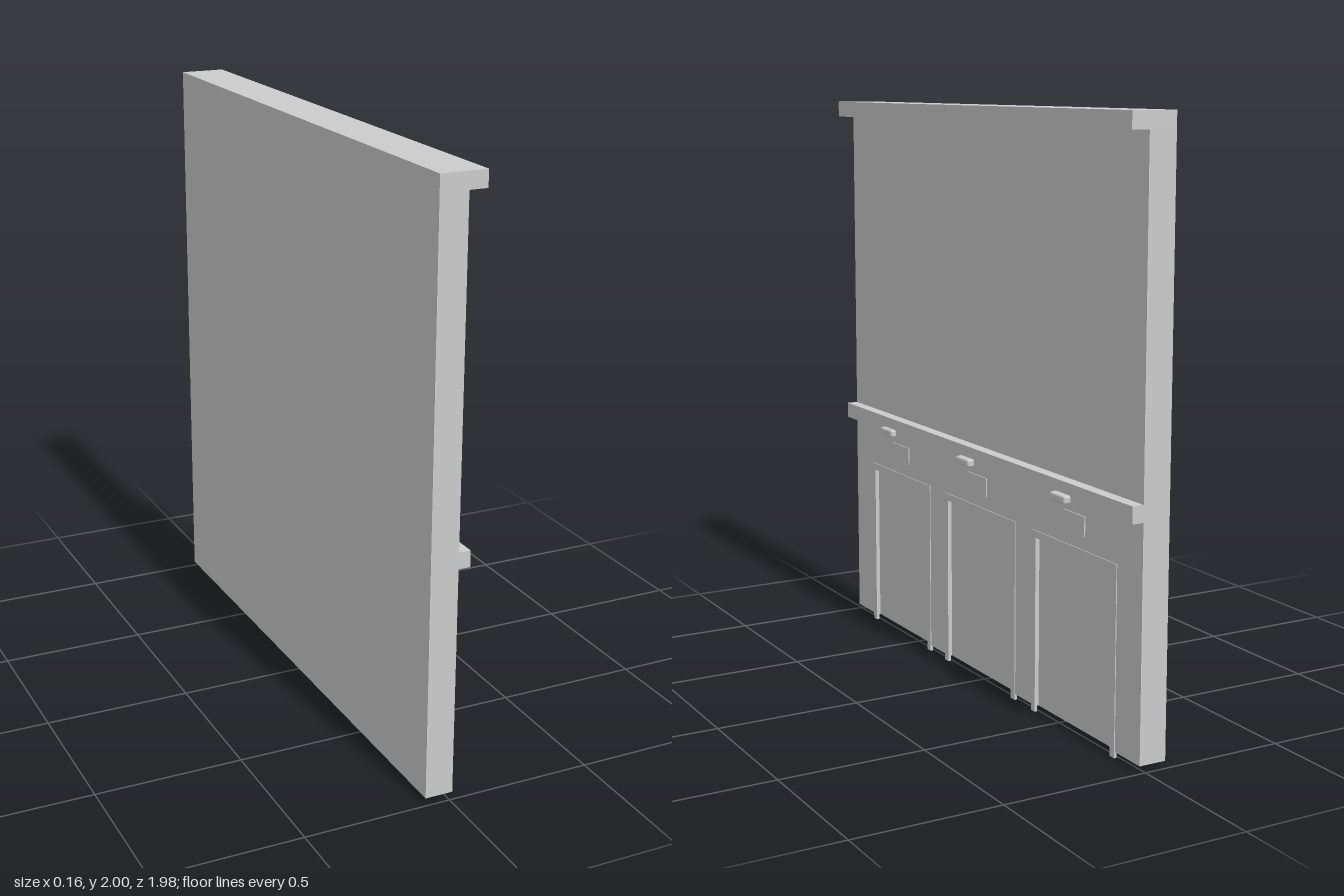
import * as THREE from 'three';
import { RoundedBoxGeometry } from 'three/addons/geometries/RoundedBoxGeometry.js';

export function createModel() {
  const model = new THREE.Group();
  const grey = new THREE.MeshStandardMaterial({ color: 0xcccccc });
  const HALF = 0.99;
  const FACE = 0.015; // x of the wall's main face

  function add(name, geometry, parent = model) {
    const mesh = new THREE.Mesh(geometry, grey);
    mesh.name = name;
    parent.add(mesh);
    return mesh;
  }

  // Box given by its minimum and maximum on each axis
  function box(name, [x0, x1], [y0, y1], [z0, z1], parent, radius = 0) {
    const size = [x1 - x0, y1 - y0, z1 - z0];
    const geometry = radius
      ? new RoundedBoxGeometry(...size, 2, radius)
      : new THREE.BoxGeometry(...size);
    const mesh = add(name, geometry, parent);
    mesh.position.set((x0 + x1) / 2, (y0 + y1) / 2, (z0 + z1) / 2);
    return mesh;
  }

  // Inner edges of the three door panels along z
  const doors = [[0.4, 0.826], [-0.214, 0.236], [-0.828, -0.373]];
  const doorTop = 0.6;
  const recess = 0.012;

  // Wall body, and a front skin with a notch for each recessed door
  box('wall', [-0.08, FACE - recess], [0.02, 1.945], [-HALF, HALF]);
  const outline = new THREE.Shape();
  outline.moveTo(-HALF, 0.02);
  for (const [z0, z1] of doors) {
    // shape x runs along -z
    outline.lineTo(-z1, 0.02);
    outline.lineTo(-z1, doorTop);
    outline.lineTo(-z0, doorTop);
    outline.lineTo(-z0, 0.02);
  }
  outline.lineTo(HALF, 0.02);
  outline.lineTo(HALF, 1.945);
  outline.lineTo(-HALF, 1.945);
  outline.closePath();
  const skin = add('wallFace', new THREE.ExtrudeGeometry(outline, { depth: recess, bevelEnabled: false }));
  skin.rotation.y = Math.PI / 2;
  skin.position.x = FACE - recess;

  // Cap overhanging the face, and the rail across it
  box('cap', [-0.08, 0.076], [1.945, 2], [-HALF, HALF]);
  box('rail', [FACE, 0.055], [0.785, 0.84], [-HALF, HALF]);

  // Thin frames around the doors; the posts reach the ground
  const trim = 0.025;
  const trimX = [0.008, 0.018];
  for (const [z0, z1] of doors) {
    const frame = new THREE.Group();
    frame.name = 'doorFrame';
    model.add(frame);
    box('framePost', trimX, [0, doorTop], [z0 - trim, z0], frame);
    box('framePost', trimX, [0, doorTop], [z1, z1 + trim], frame);
    box('frameTop', trimX, [doorTop, doorTop + trim], [z0 - trim, z1 + trim], frame);
  }

  // Small handles on the rail, each with a plate below
  const fittings = [
    { handle: 0.615, plate: 0.605, reach: 0.076 },
    { handle: 0.021, plate: 0.02, reach: 0.08 },
    { handle: -0.602, plate: -0.605, reach: 0.08 },
  ];
  for (const { handle, plate, reach } of fittings) {
    box('handle', [0.052, reach], [0.775, 0.803], [handle - 0.045, handle + 0.045], model, 0.008);
    box('plate', [0.01, 0.019], [0.67, 0.735], [plate - 0.065, plate + 0.065]);
  }

  return model;
}
